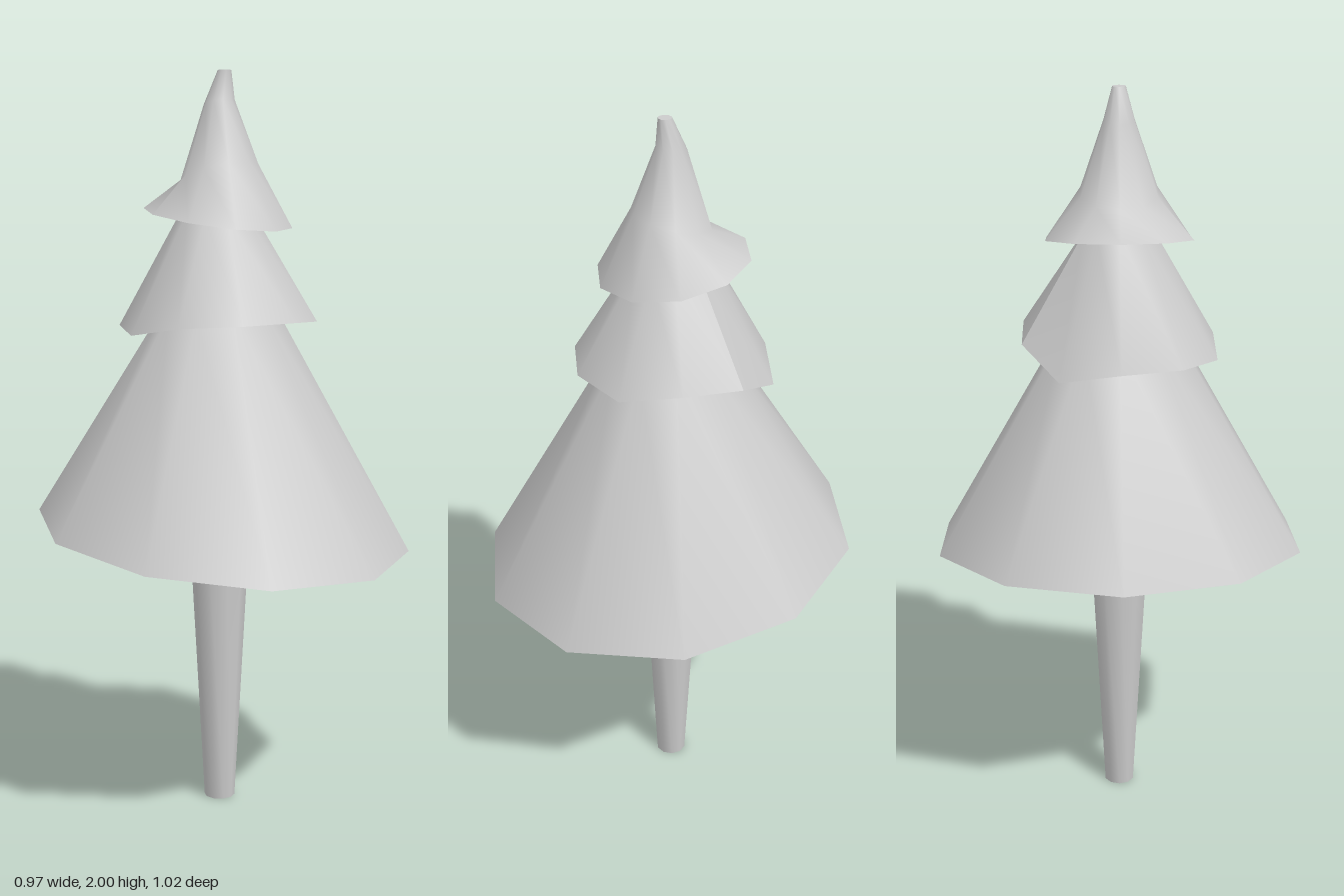
import * as THREE from 'three';
import { mergeVertices } from 'three/addons/utils/BufferGeometryUtils.js';

const SIDES = 10;

// A point on a tilted ring; tilt is the rise in y per unit of z, lift holds per-corner offsets.
function ringPoint({ r, y, z, tilt = 0, lift }, i) {
  const k = i % SIDES;
  const a = (k / SIDES) * Math.PI * 2;
  const dz = r * Math.cos(a);
  return [r * Math.sin(a), y + tilt * dz + (lift ? lift[k] : 0), z + dz];
}

function makeGeometry(points, index) {
  const g = new THREE.BufferGeometry();
  g.setAttribute('position', new THREE.Float32BufferAttribute(points.flat(), 3));
  g.setIndex(index);
  return g;
}

// Smooth side wall through the rings, bottom to top; a seam corner keeps one hard edge.
function wall(rings, seam) {
  const points = [], index = [], w = SIDES + 1;
  rings.forEach((ring, j) => {
    for (let k = 0; k < w; k++) {
      points.push(ringPoint(ring, (seam ?? 0) + k));
      if (j && k < SIDES) {
        const a = (j - 1) * w + k, b = a + 1, c = a + w, d = c + 1;
        index.push(a, b, c, b, d, c);
      }
    }
  });
  let g = makeGeometry(points, index);
  if (seam === undefined) g = mergeVertices(g);
  g.computeVertexNormals();
  return g;
}

// Flat fan closing a ring.
function cap(ring, up) {
  const points = [[0, ring.y, ring.z]], index = [];
  for (let k = 0; k < SIDES; k++) {
    const a = k + 1, b = ((k + 1) % SIDES) + 1;
    points.push(ringPoint(ring, k));
    index.push(0, up ? a : b, up ? b : a);
  }
  const g = makeGeometry(points, index);
  g.computeVertexNormals();
  return g;
}

export function createModel() {
  const model = new THREE.Group();
  model.name = 'tree';
  const material = new THREE.MeshStandardMaterial({ color: 0xcccccc });

  const addPart = (name, rings, seam) => {
    const group = new THREE.Group();
    group.name = name;
    const pieces = {
      Side: wall(rings, seam),
      Underside: cap(rings[0], false),
      Top: cap(rings[rings.length - 1], true),
    };
    for (const [suffix, geometry] of Object.entries(pieces)) {
      const mesh = new THREE.Mesh(geometry, material);
      mesh.name = name + suffix;
      group.add(mesh);
    }
    model.add(group);
  };

  // Trunk widens upward
  addPart('trunk', [
    { r: 0.042, y: 0, z: -0.012 },
    { r: 0.084, y: 0.78, z: -0.012 },
  ]);

  // Wide bottom skirt of branches, tilted down at the front
  addPart('lowerBranches', [
    { r: 0.51, y: 0.762, z: 0, tilt: -0.123 },
    { r: 0.16, y: 1.36, z: -0.012 },
  ]);

  // Middle skirt with an uneven hem and one sharp fold
  const hem = [0.005, -0.003, 0.031, 0.015, -0.047, -0.012, -0.015, -0.031, -0.005, 0.002];
  addPart('middleBranches', [
    { r: 0.268, y: 1.34, z: -0.0175, lift: hem },
    { r: 0.1, y: 1.625, z: -0.012, tilt: -0.16 },
  ], 3);

  // Top skirt flaring out from the pointed crown
  addPart('upperBranches', [
    { r: 0.2, y: 1.613, z: -0.0175, tilt: -0.165 },
    { r: 0.104, y: 1.735, z: -0.012, tilt: 0.25 },
    { r: 0.041, y: 1.918, z: -0.012, tilt: 0.15 },
    { r: 0.018, y: 2, z: 0.006 },
  ]);

  return model;
}
